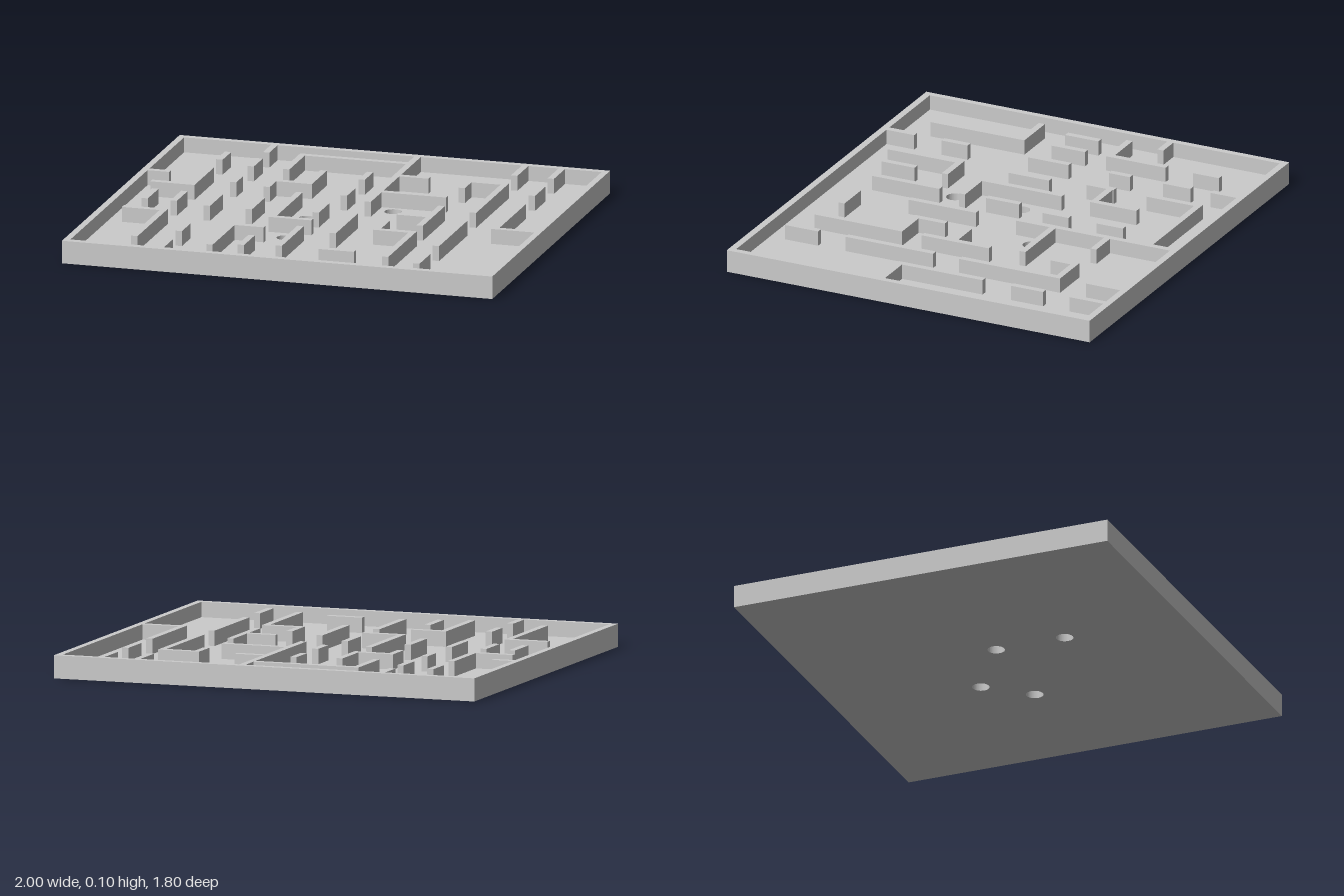
import * as THREE from 'three';

const HEIGHT = 0.104, FLOOR = 0.035, T = 0.015; // T = half wall thickness
const HALF_X = 1, HALF_Z = 0.9, IN_X = 0.97, IN_Z = 0.868;

// Walls running along z: x centre, then [z start, z end] pairs
const alongZ = [
  [-0.85, [-0.035, 0.13]],
  [-0.715, [-0.7, -0.57], [-0.435, -0.14], [-0.035, 0.13], [0.265, 0.73]],
  [-0.55, [-IN_Z, -0.74], [-0.64, -0.505], [-0.34, -0.235], [-0.035, 0.165], [0.465, 0.595], [0.73, IN_Z]],
  [-0.385, [-0.77, -0.505], [-0.34, -0.205]],
  [-0.355, [-0.035, 0.165], [0.4, 0.765]],
  [-0.22, [-0.535, -0.305], [-0.165, 0.26], [0.565, 0.73]],
  [-0.055, [-0.035, 0.13], [0.36, 0.695]],
  [-0.015, [-0.57, -0.44], [-0.3, -0.17]],
  [0.115, [-IN_Z, -0.105], [0.095, 0.43]],
  [0.285, [0.165, 0.325]],
  [0.45, [-0.57, -0.44], [-0.135, 0.2], [0.295, 0.73]],
  [0.615, [-IN_Z, -0.7], [-0.57, -0.07], [0.06, 0.495], [0.63, 0.795]],
  [0.785, [-IN_Z, -0.7], [-0.57, -0.41], [-0.27, 0.16]],
];

// Walls running along x: z centre, then [x start, x end] pairs
const alongX = [
  [-0.755, [-0.37, 0.1]],
  [-0.555, [0.13, 0.265], [0.465, 0.6]],
  [-0.325, [-IN_X, -0.87]],
  [-0.32, [-0.37, -0.235]],
  [-0.285, [0.13, 0.43]],
  [-0.155, [-0.905, -0.73]],
  [0.045, [0.3, 0.435]],
  [0.145, [0.8, IN_X]],
  [0.245, [-0.205, -0.035]],
  [0.28, [-0.905, -0.73]],
  [0.31, [0.3, 0.435]],
  [0.415, [-0.34, -0.205]],
  [0.68, [0.13, 0.295]],
];

// Ball holes: x, z
const holes = [[0.2, -0.215], [0.365, -0.025], [-0.135, 0], [-0.135, 0.33]];
const HOLE_RADIUS = 0.039;

function rectangle(Type, hx, hz) {
  return new Type([[-hx, -hz], [hx, -hz], [hx, hz], [-hx, hz]].map(([x, y]) => new THREE.Vector2(x, y)));
}

// Extrude a plan shape upwards from y0 to y1
function slab(shape, y0, y1) {
  const geometry = new THREE.ExtrudeGeometry(shape, { depth: y1 - y0, bevelEnabled: false, curveSegments: 32 });
  return geometry.rotateX(-Math.PI / 2).translate(0, y0, 0);
}

export function createModel() {
  const group = new THREE.Group();
  group.name = 'mazeTray';
  const material = new THREE.MeshStandardMaterial({ color: 0xcccccc });
  const add = (parent, name, geometry) => {
    const mesh = new THREE.Mesh(geometry, material);
    mesh.name = name;
    parent.add(mesh);
  };

  // Floor plate with round through-holes
  const plate = rectangle(THREE.Shape, HALF_X, HALF_Z);
  for (const [x, z] of holes) {
    plate.holes.push(new THREE.Path().absarc(x, -z, HOLE_RADIUS, 0, Math.PI * 2, true));
  }
  add(group, 'floor', slab(plate, 0, FLOOR));

  // Raised border
  const border = rectangle(THREE.Shape, HALF_X, HALF_Z);
  border.holes.push(rectangle(THREE.Path, IN_X, IN_Z));
  add(group, 'rim', slab(border, FLOOR, HEIGHT));

  // Maze walls
  const walls = new THREE.Group();
  walls.name = 'mazeWalls';
  group.add(walls);
  const addWall = (x0, x1, z0, z1) => {
    const box = new THREE.BoxGeometry(x1 - x0, HEIGHT - FLOOR, z1 - z0);
    add(walls, 'mazeWall', box.translate((x0 + x1) / 2, (HEIGHT + FLOOR) / 2, (z0 + z1) / 2));
  };
  for (const [x, ...spans] of alongZ) for (const [a, b] of spans) addWall(x - T, x + T, a, b);
  for (const [z, ...spans] of alongX) for (const [a, b] of spans) addWall(a, b, z - T, z + T);

  return group;
}
